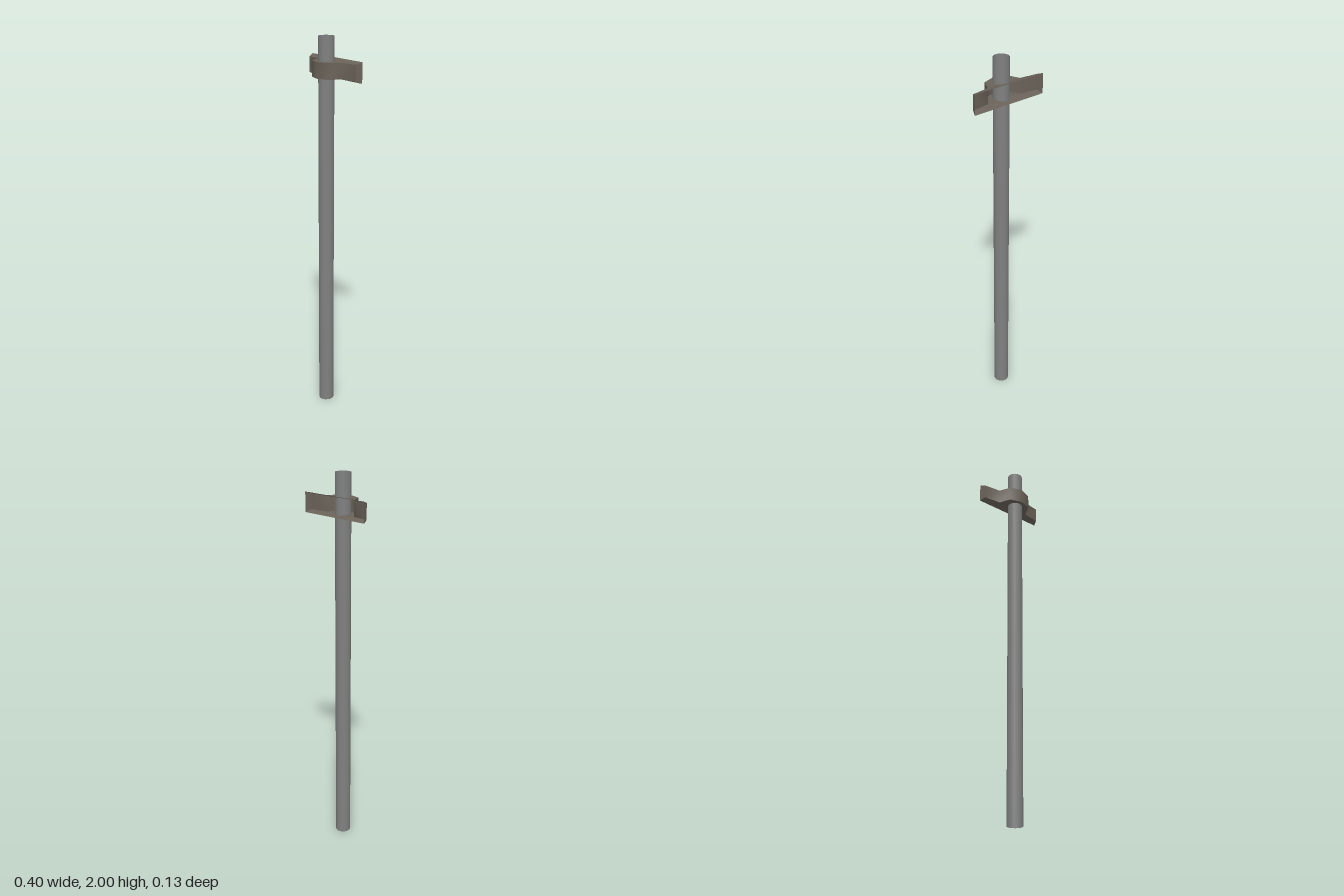
import * as THREE from 'three';

const steel = new THREE.MeshStandardMaterial({ name: 'pipe grey', color: 0x808080, side: THREE.DoubleSide });
const bronze = new THREE.MeshStandardMaterial({ name: 'bracket brown', color: 0x6a6259, side: THREE.DoubleSide });

// Indexed surface with normals averaged within the part only
function surface(name, points, index) {
  const geometry = new THREE.BufferGeometry();
  geometry.setAttribute('position', new THREE.Float32BufferAttribute(points.flat(), 3));
  geometry.setIndex(index);
  geometry.computeVertexNormals();
  const mesh = new THREE.Mesh(geometry, bronze);
  mesh.name = name;
  return mesh;
}

// Polygon filled as a fan from its first corner
function panel(name, points) {
  const index = [];
  for (let i = 1; i < points.length - 1; i++) index.push(0, i, i + 1);
  return surface(name, points, index);
}

export function createModel() {
  const model = new THREE.Group();
  model.name = 'postWithBracket';

  // Open pipe
  const pipe = new THREE.Mesh(new THREE.CylinderGeometry(0.04, 0.04, 2, 16, 1, true), steel);
  pipe.name = 'pipe';
  pipe.position.y = 1;
  model.add(pipe);

  // Bracket: hollow shell, open at the back, with a flared rim
  const bracket = new THREE.Group();
  bracket.name = 'bracket';
  bracket.position.y = 1.84;
  const h = 0.04, rimH = 0.051;
  const half = [[0.066, 0.04], [0.094, -0.021], [0.188, -0.034]];
  const mirrored = half.map(([x, z]) => [-x, z]).reverse();
  const outline = [...mirrored, [0, 0.062], ...half];
  const rim = [0.2, -0.064];

  // Front wall following the outline
  const wall = [], wallIndex = [];
  outline.forEach(([x, z], i) => {
    wall.push([x, -h, z], [x, h, z]);
    if (i) {
      const a = 2 * (i - 1);
      wallIndex.push(a, a + 2, a + 3, a, a + 3, a + 1);
    }
  });
  bracket.add(surface('frontWall', wall, wallIndex));

  // Flat and flared panels, above and below
  const flat = outline.slice(1, -1);
  const wings = [outline[0], outline[1], outline[5], outline[6]];
  for (const s of [1, -1]) {
    const side = s > 0 ? 'top' : 'bottom';
    const center = flat.map(([x, z]) => [x, s * h, z]);
    const flare = [
      [-rim[0], s * rimH, rim[1]],
      ...wings.map(([x, z]) => [x, s * h, z]),
      [rim[0], s * rimH, rim[1]],
    ];
    if (s < 0) { center.reverse(); flare.reverse(); }
    bracket.add(panel(side + 'Panel', center), panel(side + 'Flare', flare));
  }

  // Flared end walls
  const [ex, ez] = half[2];
  for (const s of [1, -1]) {
    const end = [
      [s * rim[0], -rimH, rim[1]], [s * ex, -h, ez],
      [s * ex, h, ez], [s * rim[0], rimH, rim[1]],
    ];
    if (s > 0) end.reverse();
    bracket.add(panel(s > 0 ? 'leftEnd' : 'rightEnd', end));
  }
  model.add(bracket);
  return model;
}
